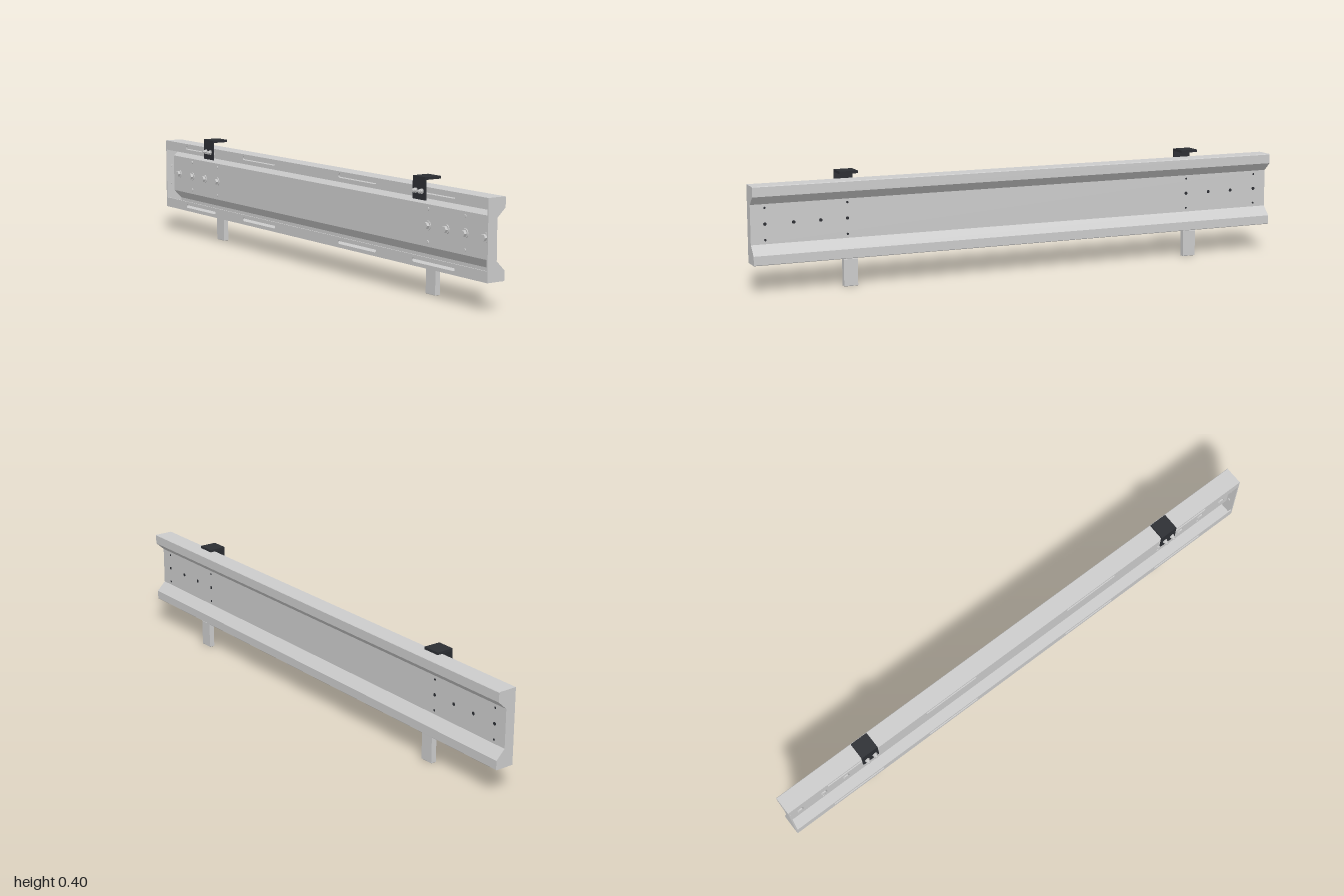
import * as THREE from 'three';

const grey = new THREE.MeshStandardMaterial({ color: 0xcccccc, flatShading: true });
const dark = new THREE.MeshStandardMaterial({ color: 0x2c2e33, flatShading: true });

const BACK = -0.025, FRONT = 0.045, WEB = 0.012, BOTTOM = 0.097, TOP = 0.365, T = 0.004;

function add(parent, name, geometry, material, x = 0, y = 0, z = 0) {
  const mesh = new THREE.Mesh(geometry, material);
  mesh.name = name;
  mesh.position.set(x, y, z);
  parent.add(mesh);
  return mesh;
}

const polygon = (points) => new THREE.Shape(points.map(([x, y]) => new THREE.Vector2(x, y)));

const extrude = (shape, depth) =>
  new THREE.ExtrudeGeometry(shape, { depth, bevelEnabled: false, curveSegments: 8 });

// Cylinder lying along x
const pin = (radius, length, sides) =>
  new THREE.CylinderGeometry(radius, radius, length, sides).rotateZ(Math.PI / 2);

// Front outline from top back to bottom back, with small corner chamfers
const outer = [
  [BACK, TOP], [FRONT - 0.002, TOP], [FRONT, TOP - 0.002], [FRONT, 0.33], [WEB, 0.3],
  [WEB, 0.163], [FRONT, 0.13], [FRONT, BOTTOM + 0.002], [FRONT - 0.002, BOTTOM], [BACK, BOTTOM],
];
const inner = [
  [BACK, BOTTOM + T], [FRONT - T, BOTTOM + T], [FRONT - T, 0.128], [WEB - T, 0.161],
  [WEB - T, 0.302], [FRONT - T, 0.332], [FRONT - T, TOP - T], [BACK, TOP - T],
];

// Back lip with four long round-ended slots, drawn as (z, y)
function lipGeometry(y0, y1, slotY) {
  const shape = polygon([[-1, y0], [1, y0], [1, y1], [-1, y1]]);
  const r = 0.007, half = 0.11 - r;
  for (const z of [-0.73, -0.31, 0.31, 0.73]) {
    const slot = new THREE.Path();
    slot.absarc(z + half, slotY, r, -Math.PI / 2, Math.PI / 2, false);
    slot.absarc(z - half, slotY, r, Math.PI / 2, Math.PI * 1.5, false);
    slot.closePath();
    shape.holes.push(slot);
  }
  return extrude(shape, T).rotateY(-Math.PI / 2);
}

function createBracket(side) {
  const bracket = new THREE.Group();
  bracket.name = 'clampBracket';
  bracket.position.z = 0.66 * side;
  const angle = polygon([
    [-0.031, 0.321], [-0.0255, 0.321], [-0.0255, 0.388], [0.033, 0.388], [0.033, 0.397], [-0.031, 0.397],
  ]);
  add(bracket, 'angleIron', extrude(angle, 0.066), dark, 0, 0, -0.033);
  // Pair of bolts through the upper lip
  for (const z of [-0.016, 0.016]) {
    add(bracket, 'washer', pin(0.009, 0.003, 16), grey, -0.0325, 0.35, z);
    add(bracket, 'nut', pin(0.0075, 0.008, 6), grey, -0.038, 0.35, z);
    add(bracket, 'boltShank', pin(0.0045, 0.03, 12), grey, -0.032, 0.35, z);
  }
  return bracket;
}

function createPost() {
  const w = 0.017, d = 0.047, h = 0.0945, b = 0.0015;
  const section = polygon([[-w / 2, -d / 2], [w / 2, -d / 2], [w / 2, d / 2], [-w / 2, d / 2]]);
  return new THREE.ExtrudeGeometry(section, {
    depth: h - b, bevelSize: b, bevelThickness: b, bevelSegments: 1,
  }).rotateX(-Math.PI / 2).translate(0, b, 0);
}

export function createModel() {
  const model = new THREE.Group();
  model.name = 'railPanel';

  // Folded sheet and back lips
  add(model, 'foldedSheet', extrude(polygon([...outer, ...inner]), 2), grey, 0, 0, -1);
  add(model, 'upperLip', lipGeometry(0.328, TOP, 0.35), grey, BACK + T);
  add(model, 'lowerLip', lipGeometry(BOTTOM, 0.134, 0.117), grey, BACK + T);

  for (const side of [-1, 1]) {
    // End plate with two studs on its inner face
    add(model, 'endPlate', extrude(polygon(outer), 0.005), grey, 0, 0, side > 0 ? 0.995 : -1);
    for (const y of [0.19, 0.26]) {
      const stud = add(model, 'endStud', pin(0.005, 0.004, 12), grey, -0.002, y, side * 0.993);
      stud.rotation.y = Math.PI / 2;
    }

    // Row of web bolts: nut and washer behind, flush tip in front
    for (const z of [0.95, 0.85, 0.755, 0.66]) {
      add(model, 'webWasher', pin(0.016, 0.003, 20), grey, WEB - T - 0.0015, 0.232, side * z);
      add(model, 'webNut', pin(0.012, 0.01, 6), grey, WEB - T - 0.008, 0.232, side * z);
      add(model, 'webBoltTip', pin(0.006, 0.002, 12), dark, WEB, 0.232, side * z);
    }
    // Small rivets above and below the row
    for (const y of [0.177, 0.287]) {
      for (const z of [0.95, 0.66]) add(model, 'frontRivet', pin(0.004, 0.002, 10), dark, WEB, y, side * z);
      for (const z of [0.85, 0.66]) add(model, 'backRivet', pin(0.006, 0.004, 10), grey, WEB - T - 0.001, y, side * z);
    }

    add(model, 'supportPost', createPost(), grey, 0.031, 0, side * 0.66);
    model.add(createBracket(side));
  }
  return model;
}
